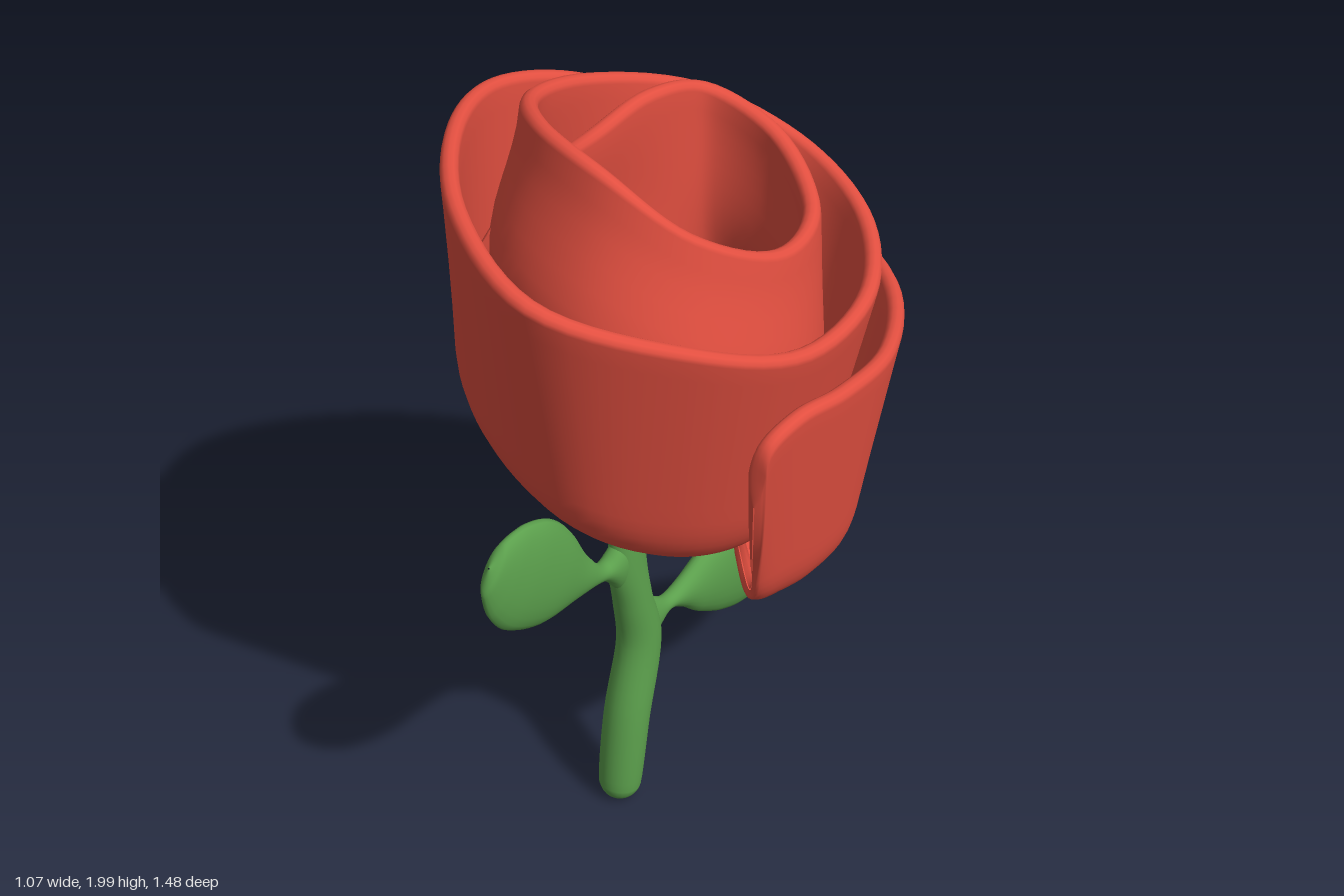
import * as THREE from 'three';

const V = (x, y, z) => new THREE.Vector3(x, y, z);

// Skin a list of closed rings with smooth quads
function skin(rings, material, name) {
  const n = rings[0].length, index = [];
  for (let i = 0; i < rings.length - 1; i++) {
    for (let j = 0; j < n; j++) {
      const k = (j + 1) % n;
      const a = i * n + j, b = i * n + k, c = a + n, d = b + n;
      index.push(a, b, c, b, d, c);
    }
  }
  const geo = new THREE.BufferGeometry().setFromPoints(rings.flat());
  geo.setIndex(index);
  geo.computeVertexNormals();
  const mesh = new THREE.Mesh(geo, material);
  mesh.name = name;
  return mesh;
}

// Elliptical loft in an upright side plane; each station is [z, y, halfWidth, halfDepth]
function loft(stations, material, name) {
  const path = new THREE.CatmullRomCurve3(stations.map(([z, y]) => V(0.008, y, z)));
  const size = new THREE.CatmullRomCurve3(stations.map(([, , w, d], i) => V(w, d, i * 0.1)));
  const rings = [], steps = (stations.length - 1) * 6;
  for (let i = 0; i <= steps; i++) {
    const c = path.getPoint(i / steps), s = size.getPoint(i / steps), T = path.getTangent(i / steps);
    const U = V(0, -T.z, T.y), ring = [];
    for (let j = 0; j < 24; j++) {
      const a = (j / 24) * Math.PI * 2;
      ring.push(c.clone().addScaledVector(U, s.x * Math.cos(a)).add(V(s.y * Math.sin(a), 0, 0)));
    }
    rings.push(ring);
  }
  return skin(rings, material, name);
}

// Rim of the spiralling petal, from the outer edge inwards
const rimKeys = [
  [0.46, 1.22, 0.31], [0.48, 1.38, 0.305], [0.495, 1.42, 0.2], [0.505, 1.4, 0.03], [0.47, 1.37, -0.22],
  [0.3, 1.36, -0.5], [-0.08, 1.38, -0.71], [-0.3, 1.62, -0.52], [-0.45, 1.82, -0.2],
  [-0.5, 1.89, 0.05], [-0.42, 1.905, 0.28], [-0.2, 1.87, 0.53], [0.1, 1.79, 0.645],
  [0.34, 1.65, 0.42], [0.445, 1.52, 0.1], [0.42, 1.53, -0.2], [0.25, 1.58, -0.43], [0, 1.66, -0.515],
  [-0.22, 1.78, -0.4], [-0.34, 1.89, -0.1], [-0.31, 1.95, 0.14], [-0.16, 1.978, 0.28],
  [0.05, 1.94, 0.32], [0.22, 1.8, 0.23], [0.3, 1.68, 0], [0.24, 1.68, -0.22], [0.05, 1.77, -0.34],
  [-0.13, 1.85, -0.3], [-0.17, 1.89, -0.12], [-0.2, 1.85, 0.06], [-0.27, 1.78, 0.19], [-0.31, 1.72, 0.28],
];
// Lower corner of the petal wall under each outer rim key
const baseKeys = [
  [0.37, 0.8, 0.18], [0.385, 0.78, 0.17], [0.4, 0.765, 0.11], [0.41, 0.75, 0], [0.39, 0.75, -0.17],
  [0.25, 0.8, -0.31], [0.02, 0.94, -0.35], [-0.24, 1.06, -0.35], [-0.44, 1.17, -0.2],
  [-0.525, 1.2, 0.05], [-0.44, 1.15, 0.28], [-0.25, 1.08, 0.41], [0.03, 1.0, 0.45],
  [0.19, 0.89, 0.28], [0.28, 0.86, 0.08], [0.29, 0.89, -0.16], [0.2, 0.98, -0.29], [0, 1.08, -0.33],
  [-0.2, 1.2, -0.27],
];

function makeBloom(material) {
  const rims = rimKeys.map((p) => V(...p));
  // The inner turn widens downwards
  const bases = rims.map((r, i) => (baseKeys[i] ? V(...baseKeys[i]) : V(r.x * 1.12, 1.16 - 0.42 * r.x, r.z * 1.16)));
  const rimCurve = new THREE.CatmullRomCurve3(rims), baseCurve = new THREE.CatmullRomCurve3(bases);
  const cols = (rims.length - 1) * 7, grid = [];
  for (let i = 0; i <= cols; i++) {
    const u = i / cols, rim = rimCurve.getPoint(u), base = baseCurve.getPoint(u);
    const centre = V(0.1, 0.83 + 0.17 * u, -0.1);
    const wallEnd = rim.clone().lerp(base, 0.74), floorStart = base.clone().lerp(centre, 0.38);
    const bend = new THREE.QuadraticBezierCurve3(wallEnd, base, floorStart);
    // The inner turn bellies out, mostly towards the front, and is open below
    const belly = THREE.MathUtils.smoothstep(u, 0.55, 0.66) * (0.03 + 0.16 * rim.z);
    const reach = 0.99 - 0.95 * THREE.MathUtils.smoothstep(u, 0.57, 0.63);
    const out = V(rim.x, 0, rim.z).normalize();
    const col = [];
    for (let j = 0; j < 10; j++) {
      const t = j / 10;
      col.push(rim.clone().lerp(wallEnd, t).addScaledVector(out, belly * Math.sin(Math.PI * t ** 1.6)));
    }
    col.push(...bend.getPoints(10));
    for (let j = 1; j <= 4; j++) col.push(floorStart.clone().lerp(centre, (j / 4) * reach));
    grid.push(col);
  }
  // Thicken the sheet, with a rounded lip and tapered ends
  const rings = grid.map((col, i) => {
    const prev = grid[Math.max(i - 1, 0)], next = grid[Math.min(i + 1, cols)];
    const end = Math.min(i, cols - i);
    const half = 0.022 * Math.sqrt(Math.min(1, (end + 0.02) / 4));
    const inner = [], outer = [], lip = [];
    col.forEach((p, j) => {
      const D = col[Math.min(j + 1, col.length - 1)].clone().sub(col[Math.max(j - 1, 0)]).normalize();
      const N = D.clone().cross(next[j].clone().sub(prev[j])).normalize();
      inner.unshift(p.clone().addScaledVector(N, -half));
      outer.push(p.clone().addScaledVector(N, half));
      if (j === 0) {
        for (let k = 1; k < 6; k++) {
          const a = (k / 6) * Math.PI;
          lip.push(p.clone().addScaledVector(N, -half * Math.cos(a)).addScaledVector(D, -half * Math.sin(a)));
        }
      }
    });
    return [...inner, ...lip, ...outer];
  });
  return skin(rings, material, 'spiralPetals');
}

export function createModel() {
  const red = new THREE.MeshStandardMaterial({ color: 0xe24f40, side: THREE.DoubleSide });
  red.name = 'petal red';
  const green = new THREE.MeshStandardMaterial({ color: 0x5b9f4c });
  green.name = 'stem green';

  const group = new THREE.Group();
  group.name = 'flower';
  group.add(makeBloom(red));

  // Curved stem
  group.add(loft([
    [0.26, 0.008, 0.002, 0.002], [0.259, 0.014, 0.035, 0.035], [0.255, 0.05, 0.055, 0.058],
    [0.22, 0.27, 0.062, 0.062], [0.165, 0.5, 0.066, 0.056], [0.19, 0.65, 0.055, 0.05],
    [0.21, 0.78, 0.058, 0.044], [0.205, 0.88, 0.052, 0.04], [0.195, 0.93, 0.045, 0.035],
  ], green, 'stem'));

  // Front leaf, growing upwards from a flared joint
  group.add(loft([
    [0.2, 0.79, 0.12, 0.03], [0.255, 0.8, 0.066, 0.034], [0.315, 0.813, 0.024, 0.026], [0.4, 0.855, 0.058, 0.034],
    [0.5, 0.917, 0.122, 0.043], [0.59, 0.985, 0.143, 0.042], [0.66, 1.04, 0.118, 0.034],
    [0.708, 1.077, 0.065, 0.022], [0.722, 1.088, 0.002, 0.002],
  ], green, 'frontLeaf'));

  // Back leaf, drooping from a flared joint
  group.add(loft([
    [0.17, 0.54, 0.13, 0.03], [0.115, 0.54, 0.066, 0.032], [0.05, 0.538, 0.022, 0.024], [-0.02, 0.528, 0.045, 0.03],
    [-0.1, 0.514, 0.095, 0.04], [-0.2, 0.495, 0.135, 0.046], [-0.31, 0.468, 0.15, 0.046], [-0.43, 0.428, 0.125, 0.04],
    [-0.52, 0.393, 0.075, 0.028], [-0.552, 0.38, 0.04, 0.016], [-0.562, 0.376, 0.002, 0.002],
  ], green, 'backLeaf'));

  return group;
}
